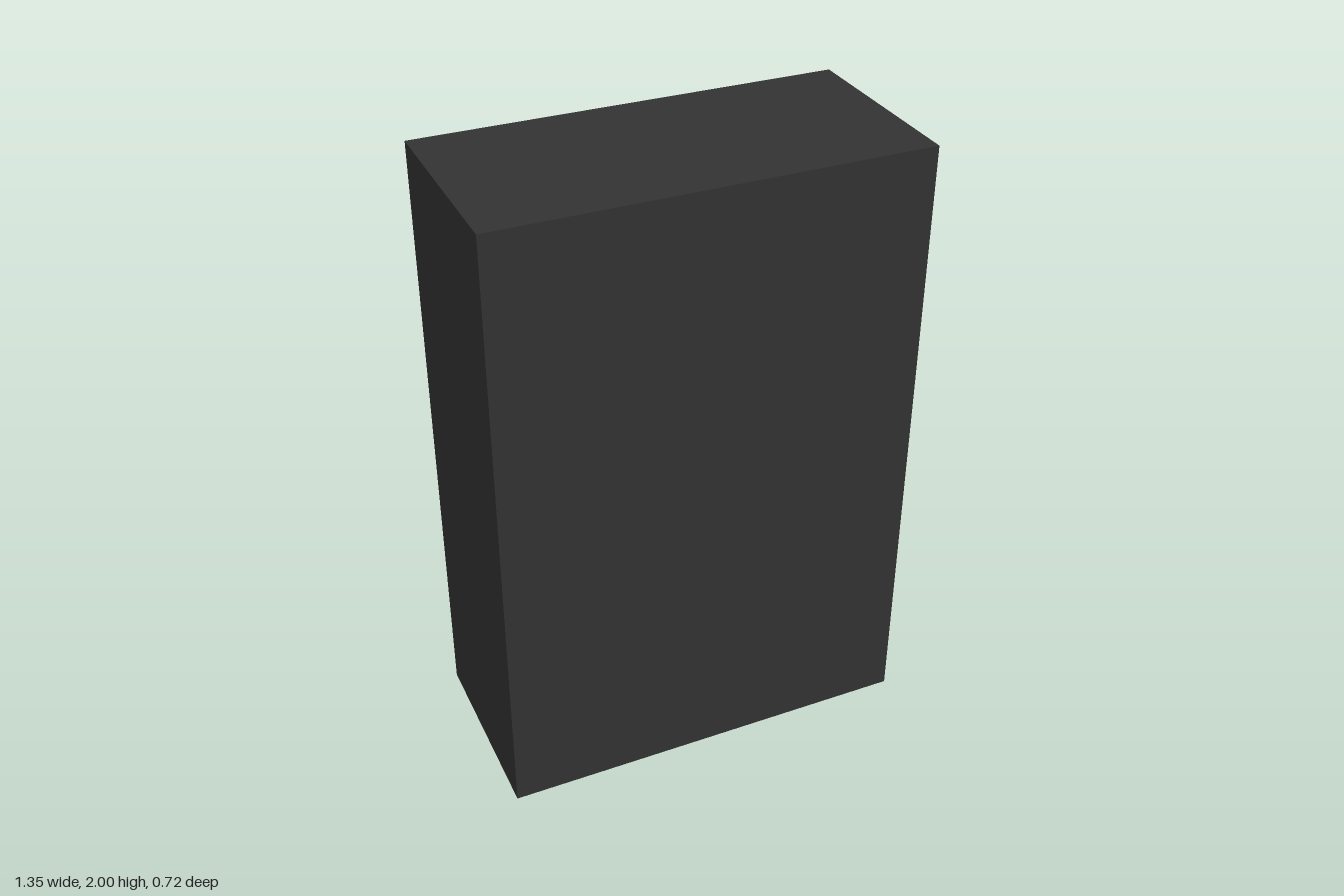
import * as THREE from 'three';

const paint = (color) => new THREE.MeshStandardMaterial({ color });

// Rectangle outline from two corners
function trace(path, x0, y0, x1, y1) {
  path.moveTo(x0, y0);
  path.lineTo(x1, y0);
  path.lineTo(x1, y1);
  path.lineTo(x0, y1);
  path.closePath();
  return path;
}

// Flat slab between z0 and z1 with rectangular holes
function slab(outline, holes, z0, z1) {
  const shape = trace(new THREE.Shape(), ...outline);
  for (const h of holes) shape.holes.push(trace(new THREE.Path(), ...h));
  const geo = new THREE.ExtrudeGeometry(shape, { depth: z1 - z0, bevelEnabled: false });
  return geo.translate(0, 0, z0);
}

export function createModel() {
  const group = new THREE.Group();
  const dark = paint(0x333333);
  const glass = paint(0x999999);
  const black = paint(0x111111);

  function add(name, geo, mat, x = 0, y = 0, z = 0, parent = group) {
    const mesh = new THREE.Mesh(geo, mat);
    mesh.name = name;
    mesh.position.set(x, y, z);
    parent.add(mesh);
    return mesh;
  }

  // Carcass: outer frame with a central divider, closed by a back panel
  const W = 0.675, inner = 0.066, outer = 0.628, low = 0.08, high = 1.92;
  const bays = [[-outer, low, -inner, high], [inner, low, outer, high]];
  add('carcass', slab([-W, 0, W, 2], bays, -0.275, 0.295), dark);
  add('backPanel', new THREE.BoxGeometry(2 * W, 2, 0.065), dark, 0, 1, 0.3275);

  // Four evenly spaced shelves in each bay, set back from the opening
  const shelfGeo = new THREE.BoxGeometry(outer - inner, 0.035, 0.49);
  for (const side of [-1, 1]) {
    for (let i = 1; i <= 4; i++) {
      add('shelf', shelfGeo, dark, side * (inner + outer) / 2, low + (i * (high - low)) / 5, 0.05);
    }
  }

  // Sliding door with two tall narrow windows
  const door = new THREE.Group();
  door.name = 'door';
  group.add(door);
  const windows = [0.0975, 0.5175];
  const holes = windows.map((x) => [x - 0.0425, 0.3, x + 0.0425, 1.71]);
  add('doorPanel', slab([-0.025, 0.065, 0.64, 1.955], holes, -0.31, -0.275), dark, 0, 0, 0, door);
  for (const x of windows) {
    add('windowPane', new THREE.BoxGeometry(0.085, 1.41, 0.015), glass, x, 1.005, -0.2825, door);
  }

  // Bar handle on two posts
  const handle = new THREE.Group();
  handle.name = 'handle';
  handle.position.set(0.1, 1.033, 0);
  door.add(handle);
  add('handleBar', new THREE.CylinderGeometry(0.016, 0.016, 0.205, 32), black, 0, 0, -0.344, handle);
  const postGeo = new THREE.CylinderGeometry(0.012, 0.012, 0.056, 24).rotateX(Math.PI / 2);
  for (const y of [-0.035, 0.035]) add('handlePost', postGeo, black, 0, y, -0.316, handle);

  return group;
}
